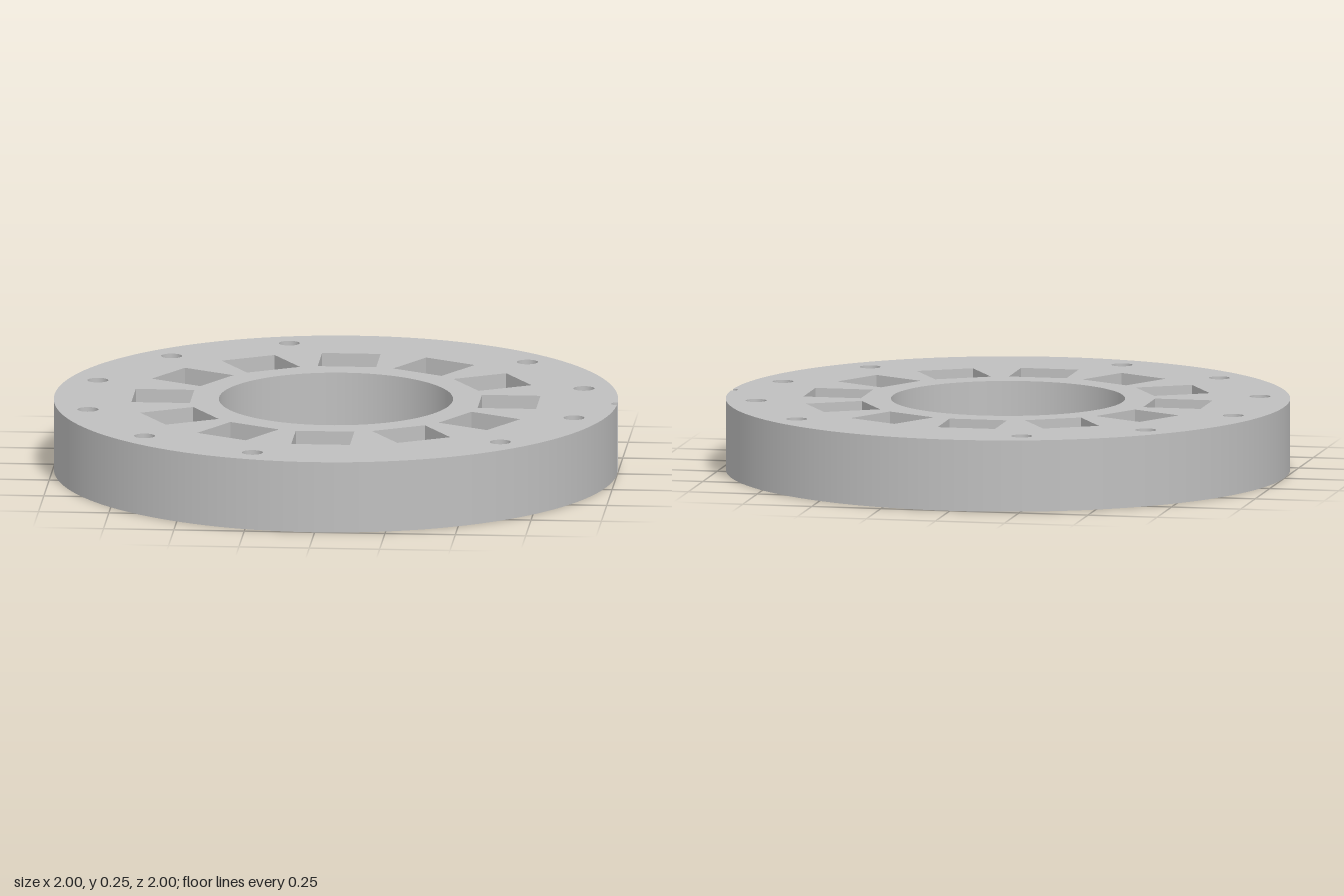
import * as THREE from 'three';

const H = 0.255, R = 1, BORE = 0.415;
const FLOOR = 0.05;              // plate left under each square pocket
const PIN = 0.037, BIG = 0.07;   // hole radii
const NOTCH = 0.022, A = 2 * Math.asin(NOTCH / 2); // notch radius and half angle on the rim
const SQ = 0.208;                // pocket side

// points along an arc
function arc(cx, cy, r, n, start = 0, sweep = Math.PI * 2) {
  return Array.from({ length: n + 1 }, (_, i) => {
    const t = start + sweep * i / n;
    return new THREE.Vector2(cx + r * Math.cos(t), cy + r * Math.sin(t));
  });
}
const circle = (c, r, n = 32) => arc(c.x, c.y, r, n).slice(0, -1);
const polar = (r, deg) => new THREE.Vector2(r * Math.cos(deg * Math.PI / 180), r * Math.sin(deg * Math.PI / 180));

export function createModel() {
  const group = new THREE.Group();
  const metal = new THREE.MeshStandardMaterial({ color: 0xbfbfbf, side: THREE.DoubleSide });
  metal.name = 'grey';

  const add = (name, geometry) => {
    const mesh = new THREE.Mesh(geometry, metal);
    mesh.name = name;
    group.add(mesh);
    return mesh;
  };

  // flat face with holes, facing up or down
  const face = (name, outline, holes, y, up = true) => {
    const shape = new THREE.Shape(outline);
    shape.holes = holes.map(h => new THREE.Path(h));
    const g = new THREE.ShapeGeometry(shape);
    g.rotateX(up ? -Math.PI / 2 : Math.PI / 2);
    g.translate(0, y, 0);
    return add(name, g);
  };

  // open round wall between two heights
  const wall = (name, c, r, y0, y1, n = 32, start = 0, sweep = Math.PI * 2) => {
    const g = new THREE.CylinderGeometry(r, r, y1 - y0, n, 1, true, start, sweep);
    g.translate(c.x, (y0 + y1) / 2, c.y);
    return add(name, g);
  };

  // rim outline with the small index notch at +x
  const outline = [
    ...arc(0, 0, R, 128, A, Math.PI * 2 - 2 * A),
    ...arc(R, 0, NOTCH, 12, -(Math.PI + A) / 2, -(Math.PI - A)).slice(1, -1),
  ];
  const origin = new THREE.Vector2();
  wall('rim', origin, R, 0, H, 128, Math.PI / 2 + A, Math.PI * 2 - 2 * A);
  wall('indexNotch', new THREE.Vector2(R, 0), NOTCH, 0, H, 12, Math.PI + A / 2, Math.PI - A);
  wall('bore', origin, BORE, 0, H, 96);

  const topHoles = [circle(origin, BORE, 96)];
  const bottomHoles = [circle(origin, BORE, 96)];

  // ring of square pockets, each with a pin hole through its floor
  for (let i = 0; i < 12; i++) {
    const c = polar(0.615, i * 30);
    const corners = [45, 135, 225, 315].map(d => polar(SQ / Math.SQRT2, d + i * 30).add(c));
    topHoles.push(corners);
    bottomHoles.push(circle(c, PIN));
    const g = new THREE.CylinderGeometry(SQ / Math.SQRT2, SQ / Math.SQRT2, H - FLOOR, 4, 1, true, Math.PI / 4).toNonIndexed();
    g.computeVertexNormals();
    g.rotateY(-i * Math.PI / 6);
    g.translate(c.x, (H + FLOOR) / 2, c.y);
    add('pocketWalls', g);
    face('pocketFloor', corners, [circle(c, PIN)], FLOOR);
    wall('pocketPinHole', c, PIN, 0, FLOOR);
  }

  // plain bolt holes
  for (const deg of [45, 135, 225, 315]) {
    const c = polar(0.894, deg);
    topHoles.push(circle(c, PIN));
    bottomHoles.push(circle(c, PIN));
    wall('boltHole', c, PIN, 0, H);
  }

  // bolt holes widened from below
  const recess = 0.13;
  for (const deg of [15, 165, 195, 345]) {
    const c = polar(0.894, deg);
    topHoles.push(circle(c, PIN));
    bottomHoles.push(circle(c, BIG));
    wall('boltHole', c, PIN, recess, H);
    wall('boltRecess', c, BIG, 0, recess);
    face('boltRecessSeat', circle(c, BIG), [circle(c, PIN)], recess, false);
  }

  // blind holes, open only at the top
  for (const deg of [105, 255]) {
    const c = polar(0.894, deg);
    topHoles.push(circle(c, PIN));
    wall('blindHole', c, PIN, FLOOR, H);
    face('blindHoleFloor', circle(c, PIN), [], FLOOR);
  }

  face('topFace', outline, topHoles, H);
  face('bottomFace', outline, bottomHoles, 0, false);
  return group;
}
